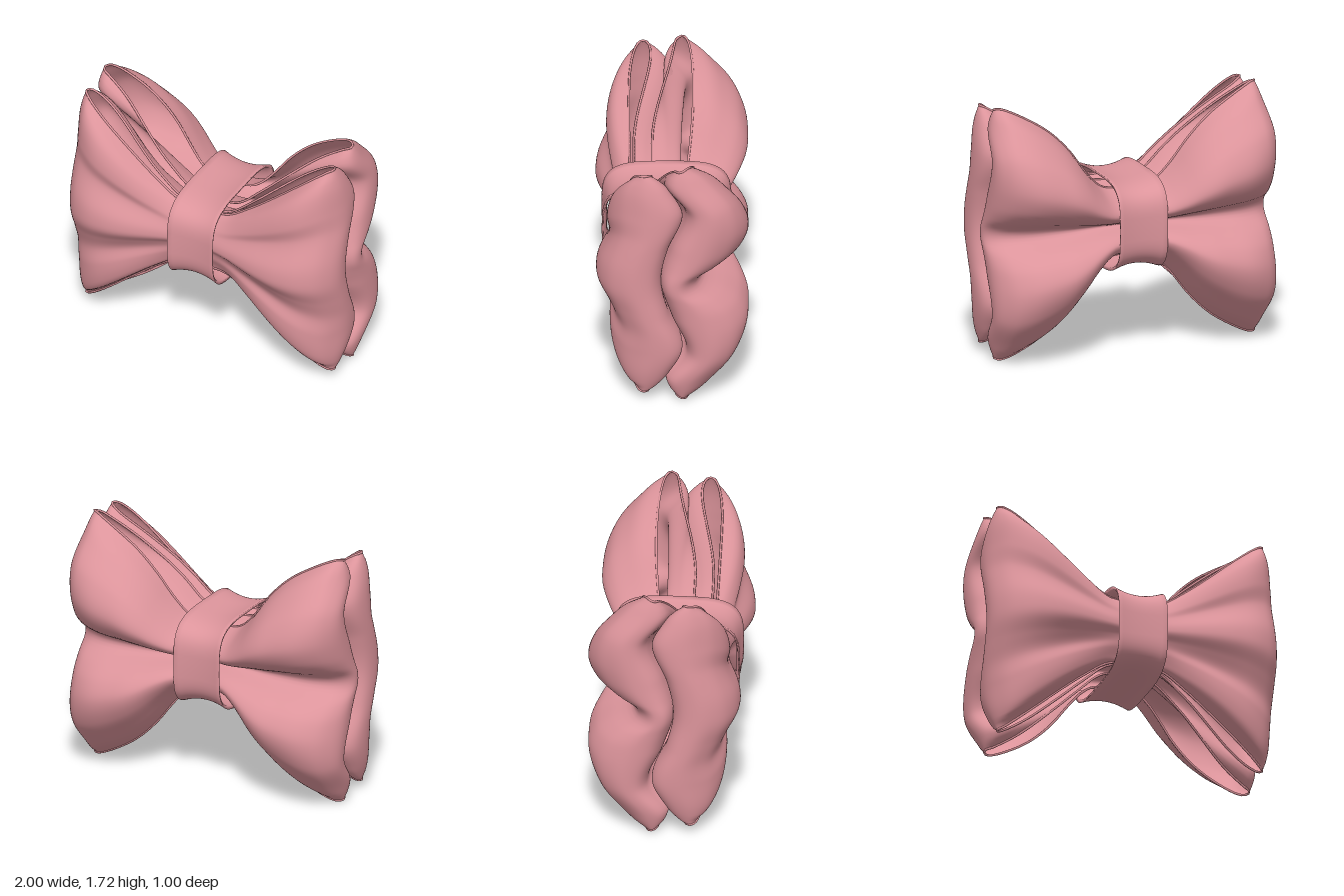
import * as THREE from 'three';

const pink = new THREE.MeshStandardMaterial({ color: 0xdc949b, side: THREE.DoubleSide });
pink.name = 'dustyPink';

// Smooth curve through [position, value] pairs
function curve(pts) {
  const slope = (i) => {
    const a = pts[Math.max(i - 1, 0)], b = pts[Math.min(i + 1, pts.length - 1)];
    return i === 0 ? 0 : (b[1] - a[1]) / (b[0] - a[0]);
  };
  return (p) => {
    let i = 0;
    while (i < pts.length - 2 && p > pts[i + 1][0]) i++;
    const [x0, y0] = pts[i], [x1, y1] = pts[i + 1], d = x1 - x0;
    const t = THREE.MathUtils.clamp((p - x0) / d, 0, 1), t2 = t * t, t3 = t2 * t;
    return y0 * (2 * t3 - 3 * t2 + 1) + y1 * (3 * t2 - 2 * t3)
      + d * (slope(i) * (t3 - 2 * t2 + t) + slope(i + 1) * (t3 - t2));
  };
}

// The same curve above and below the middle
function mirrored(pts) {
  const c = curve(pts);
  return (v) => c(Math.abs(v));
}

// Grid surface; with closed = true both directions wrap round
function surface(nu, nv, fn, closed = false) {
  const pos = [], index = [];
  const cu = closed ? nu : nu + 1, cv = closed ? nv : nv + 1;
  for (let i = 0; i < cu; i++) for (let j = 0; j < cv; j++) pos.push(...fn(i / nu, j / nv));
  for (let i = 0; i < nu; i++) for (let j = 0; j < nv; j++) {
    const a = i * cv + j, b = ((i + 1) % cu) * cv + j;
    const c = ((i + 1) % cu) * cv + (j + 1) % cv, d = i * cv + (j + 1) % cv;
    index.push(a, b, c, a, c, d);
  }
  const g = new THREE.BufferGeometry();
  g.setAttribute('position', new THREE.Float32BufferAttribute(pos, 3));
  g.setIndex(index);
  g.computeVertexNormals();
  return g;
}

// Path of a loop seen from above: x = reach, y = 1 on the outer layer, 0 on the inner
const loopPath = new THREE.CatmullRomCurve3([
  [0, 1], [0.25, 1], [0.5, 1], [0.74, 0.98], [0.88, 0.85], [0.965, 0.64], [1, 0.4],
  [0.97, 0.14], [0.89, 0.03], [0.7, 0], [0.5, 0], [0.25, 0], [0, 0],
].map(([x, w]) => new THREE.Vector3(x, w, 0)));

// Half heights along x, and depths along the height (0 middle, 1 rim)
const frontLoop = {
  yc: 0.875, spread: 0.65,
  outerH: curve([[0, 0.23], [0.18, 0.24], [0.35, 0.35], [0.5, 0.47], [0.7, 0.64], [0.89, 0.79], [0.93, 0.805]]),
  innerH: curve([[0, 0.23], [0.18, 0.245], [0.35, 0.38], [0.5, 0.51], [0.7, 0.67], [0.89, 0.79], [0.93, 0.805]]),
  outerKnot: curve([[-1, 0.28], [-0.5, 0.33], [-0.25, 0.345], [0, 0.375], [0.5, 0.355], [1, 0.28]]),
  outer: curve([[-1, 0.28], [-0.92, 0.365], [-0.8, 0.4], [-0.6, 0.41], [-0.42, 0.39], [-0.25, 0.435], [-0.1, 0.49],
    [0, 0.5], [0.15, 0.485], [0.42, 0.415], [0.6, 0.43], [0.8, 0.41], [0.92, 0.365], [1, 0.28]]),
  innerKnot: mirrored([[0, 0.18], [0.3, 0.15], [0.62, 0.09], [0.85, 0.17], [1, 0.25]]),
  inner: mirrored([[0, 0.06], [0.3, 0.015], [0.62, -0.085], [0.85, 0], [0.94, 0.06], [1, 0.13]]),
};
const backLoop = {
  yc: 0.867, spread: 0.55,
  outerH: curve([[0, 0.23], [0.18, 0.25], [0.3, 0.365], [0.4, 0.5], [0.5, 0.61], [0.6, 0.695], [0.75, 0.79], [0.88, 0.86], [0.93, 0.875]]),
  innerH: curve([[0, 0.23], [0.18, 0.25], [0.35, 0.4], [0.5, 0.54], [0.7, 0.71], [0.88, 0.82], [0.93, 0.825]]),
  outerKnot: mirrored([[0, -0.17], [0.2, -0.28], [0.42, -0.32], [0.7, -0.26], [1, -0.08]]),
  outer: mirrored([[0, -0.2], [0.06, -0.23], [0.14, -0.35], [0.25, -0.45], [0.42, -0.5], [0.64, -0.45], [0.82, -0.34],
    [0.93, -0.25], [1, -0.14]]),
  innerKnot: mirrored([[0, 0.1], [0.3, 0.04], [0.6, -0.06], [0.85, 0.03], [1, 0.13]]),
  inner: mirrored([[0, 0.08], [0.3, 0.015], [0.62, -0.085], [0.85, 0.05], [0.94, 0.04], [1, -0.01]]),
};

// Point on a fabric loop: u runs round the loop, v from lower to upper rim
function loopPoint(p, side, u, v) {
  const { x: reach, y: w } = loopPath.getPoint(u);
  const { lerp, smoothstep } = THREE.MathUtils;
  const x = reach * (1 - 0.075 * Math.abs(v) ** 5);
  const zo = lerp(p.outerKnot(v), p.outer(v), smoothstep(reach, 0, p.spread));
  const zi = lerp(p.innerKnot(v), p.inner(v), smoothstep(reach, 0.35, 0.95));
  const h = lerp(p.innerH(x), p.outerH(x), w);
  return [side * x, p.yc + v * h, zi + (zo - zi) * w];
}

function fabricLoop(name, p, side) {
  const g = new THREE.Group();
  g.name = name;
  const cloth = new THREE.Mesh(surface(80, 80, (u, v) => loopPoint(p, side, u, v * 2 - 1)), pink);
  cloth.name = 'cloth';
  g.add(cloth);
  // Rolled hems along both rims
  for (const v of [-1, 1]) {
    const pts = [];
    for (let i = 0; i <= 48; i++) pts.push(new THREE.Vector3(...loopPoint(p, side, i / 48, v)));
    const hem = new THREE.Mesh(
      new THREE.TubeGeometry(new THREE.CatmullRomCurve3(pts), 96, 0.008, 6), pink);
    hem.name = v > 0 ? 'upperHem' : 'lowerHem';
    g.add(hem);
  }
  return g;
}

// Band wrapped round the middle, slightly flared at its side edges
function centreBand() {
  const section = [];
  for (let i = 0; i <= 10; i++) {
    const t = i / 5 - 1;
    section.push([t * 0.17, 0.035 * t * t]);
  }
  for (let i = 10; i >= 0; i--) {
    const t = i / 5 - 1;
    section.push([t * 0.165, 0.035 * t * t - 0.022]);
  }
  const power = (c) => Math.sign(c) * Math.abs(c) ** 0.55;
  const n = section.length;
  const geo = surface(72, n, (u, v) => {
    const [x, off] = section[Math.round(v * n) % n];
    const a = u * Math.PI * 2;
    const c = power(Math.cos(a)), s = power(Math.sin(a));
    return [x - 0.005, 0.875 + s * (0.282 + off), 0.035 + c * (0.405 + off * 0.6)];
  }, true);
  const band = new THREE.Mesh(geo, pink);
  band.name = 'centreBand';
  return band;
}

export function createModel() {
  const bow = new THREE.Group();
  bow.name = 'bow';
  for (const [word, side] of [['Left', 1], ['Right', -1]]) {
    bow.add(fabricLoop('front' + word + 'Loop', frontLoop, side));
    bow.add(fabricLoop('back' + word + 'Loop', backLoop, side));
  }
  bow.add(centreBand());
  return bow;
}
